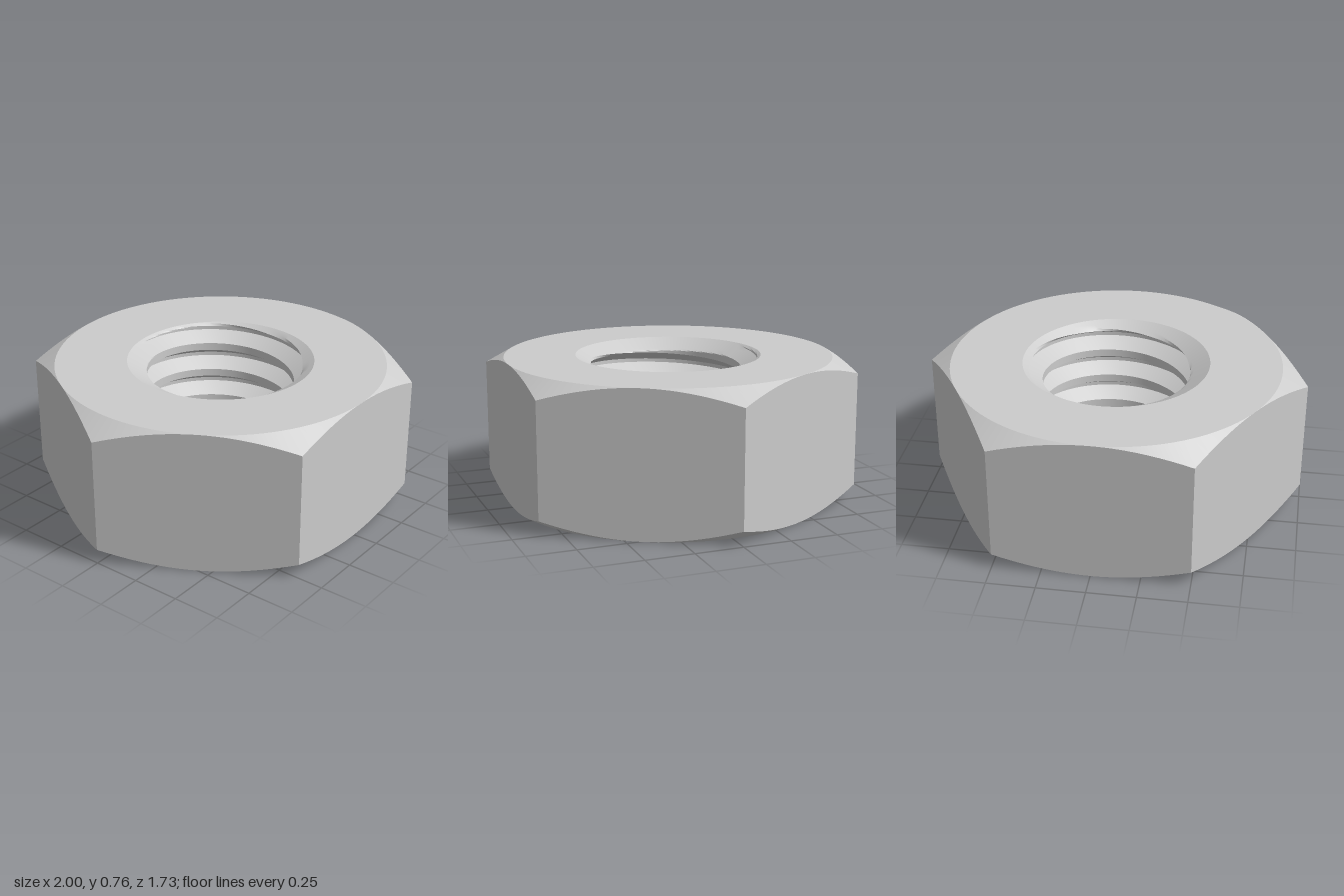
import * as THREE from 'three';
import { toCreasedNormals } from 'three/addons/utils/BufferGeometryUtils.js';

const H = 0.756;                 // nut height
const FLAT = Math.sqrt(3) / 2;   // centre to flat side
const SLOPE = Math.tan(Math.PI / 6);
const MOUTH = 0.49, MINOR = 0.388, MAJOR = 0.472; // bore radii
const PITCH = 0.1575;
const COLS = 120;

// Sweeps a profile, given as [radius, y] points per angle, once around the y axis
function sweep(name, profileAt, material) {
  const columns = [];
  for (let i = 0; i <= COLS; i++) {
    const a = (i / COLS) * Math.PI * 2;
    columns.push(profileAt(a).map(([r, y]) => new THREE.Vector3(r * Math.cos(a), y, r * Math.sin(a))));
  }
  const pos = [];
  const tri = (a, b, c) => {
    const area = b.clone().sub(a).cross(c.clone().sub(a)).length();
    if (area > 1e-9) for (const p of [a, b, c]) pos.push(p.x, p.y, p.z);
  };
  for (let i = 0; i < COLS; i++) {
    const p = columns[i], q = columns[i + 1];
    for (let j = 0; j < p.length - 1; j++) {
      tri(p[j], q[j], p[j + 1]);
      tri(q[j], q[j + 1], p[j + 1]);
    }
  }
  let geometry = new THREE.BufferGeometry();
  geometry.setAttribute('position', new THREE.Float32BufferAttribute(pos, 3));
  // enlarged while creasing so that fine thread detail is not welded together
  geometry.scale(100, 100, 100);
  geometry = toCreasedNormals(geometry, 0.4);
  geometry.scale(0.01, 0.01, 0.01);
  const mesh = new THREE.Mesh(geometry, material);
  mesh.name = name;
  return mesh;
}

// Hexagon with conical chamfers on both faces
function hexProfile(a) {
  const sector = Math.PI / 3;
  const r = FLAT / Math.cos((a % sector) - sector / 2);
  const drop = (r - FLAT) * SLOPE;
  return [[MOUTH, H], [FLAT, H], [r, H - drop], [r, drop], [FLAT, 0], [MOUTH, 0]];
}

// Right-handed 60 degree thread, opened by a countersink at each end
function threadProfile(a) {
  const root = PITCH / 16;
  const edge = root + (MAJOR - MINOR) * SLOPE;
  const marks = [-PITCH / 2, -edge, -root, root, edge, PITCH / 2];
  const centre = 0.71 - (PITCH * a) / (Math.PI * 2);
  const points = [];
  for (let turn = -6; turn <= 2; turn++) {
    for (let m = 0; m < marks.length - 1; m++) {
      for (let s = 0; s < 4; s++) {
        const offset = THREE.MathUtils.lerp(marks[m], marks[m + 1], s / 4);
        const y = THREE.MathUtils.clamp(centre + turn * PITCH + offset, 0, H);
        // offset from the nearest groove, measured again after clamping
        const t = (y - centre) / PITCH;
        const d = Math.abs(t - Math.round(t)) * PITCH;
        const groove = THREE.MathUtils.clamp(MAJOR - (d - root) / SLOPE, MINOR, MAJOR);
        const sink = MOUTH - Math.min(y, H - y) / SLOPE;
        points.push([Math.max(groove, sink), y]);
      }
    }
  }
  return points;
}

export function createModel() {
  const group = new THREE.Group();
  group.name = 'hexNut';
  const material = new THREE.MeshStandardMaterial({ color: 0xcccccc });
  group.add(sweep('hexBody', hexProfile, material));
  group.add(sweep('threadedBore', threadProfile, material));
  return group;
}
